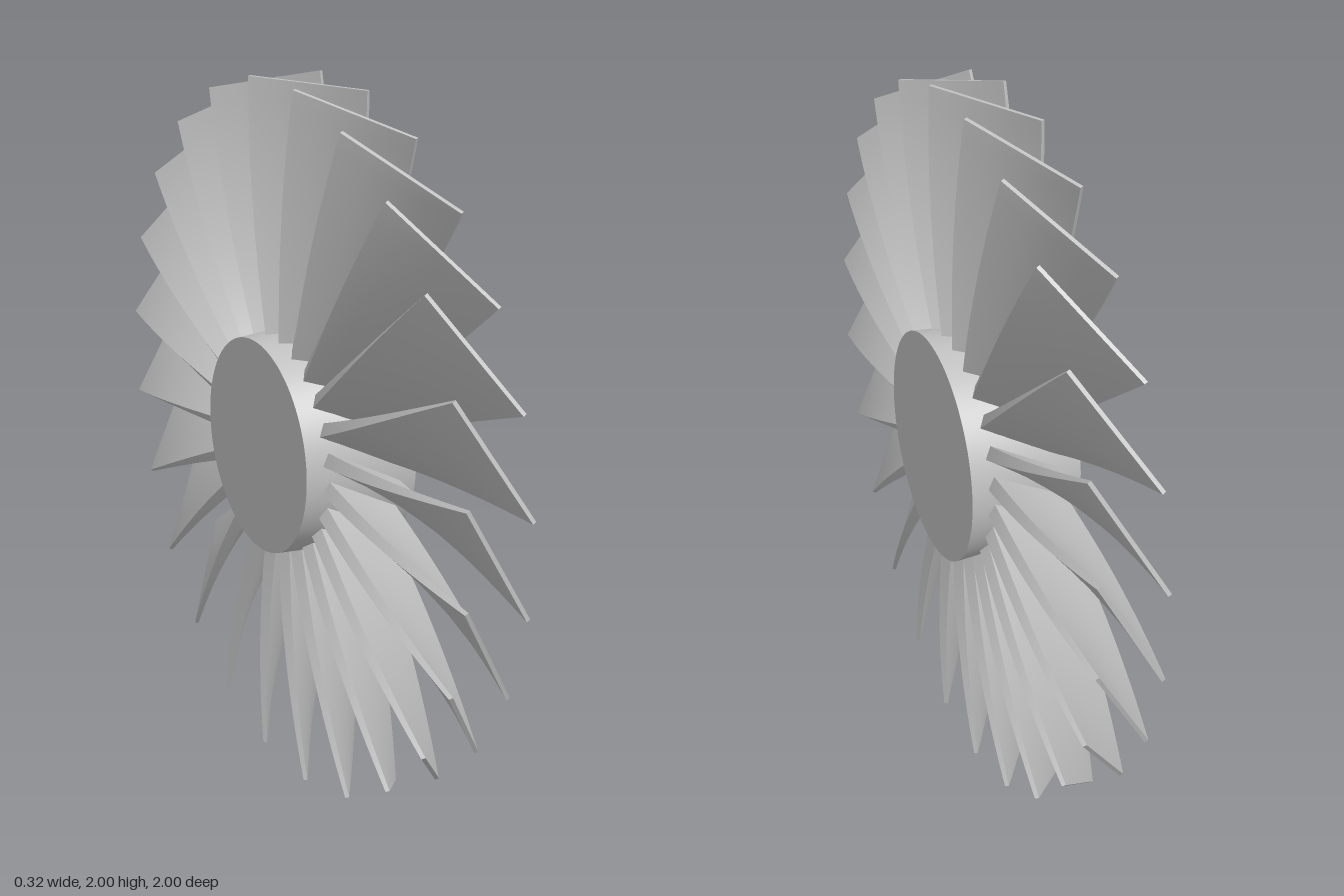
import * as THREE from 'three';
import { toCreasedNormals } from 'three/addons/utils/BufferGeometryUtils.js';

const BLADES = 24;
const ROOT = 0.28; // blade root, buried in the hub
const TIP = 0.99;

// One twisted, tapering blade pointing up, with the rotor axis along x
function bladeGeometry() {
  const geo = new THREE.BoxGeometry(2, TIP - ROOT, 1, 4, 16, 1);
  geo.translate(0, (TIP + ROOT) / 2, 0);
  const pos = geo.attributes.position;
  for (let i = 0; i < pos.count; i++) {
    const t = (pos.getY(i) - ROOT) / (TIP - ROOT);
    const chord = pos.getX(i) * THREE.MathUtils.lerp(0.113, 0.186, t);
    const thick = pos.getZ(i) * THREE.MathUtils.lerp(0.04, 0.011, t);
    const pitch = THREE.MathUtils.degToRad(THREE.MathUtils.lerp(26, 60.5, t));
    const c = Math.cos(pitch), s = Math.sin(pitch);
    pos.setX(i, chord * c - thick * s);
    pos.setZ(i, chord * s + thick * c);
  }
  return toCreasedNormals(geo, 0.6);
}

export function createModel() {
  const metal = new THREE.MeshStandardMaterial({ color: 0xc0c0c0 });
  metal.name = 'grey metal';

  const model = new THREE.Group();
  model.name = 'bladedRotor';

  // Slightly conical hub, wider towards +x
  const hubGeo = new THREE.CylinderGeometry(0.302, 0.325, 0.32, 96);
  hubGeo.rotateZ(Math.PI / 2);
  const hub = new THREE.Mesh(hubGeo, metal);
  hub.name = 'hub';
  hub.position.y = 1;
  model.add(hub);

  // Ring of blades
  const blades = new THREE.Group();
  blades.name = 'blades';
  blades.position.y = 1;
  const geo = bladeGeometry();
  for (let i = 0; i < BLADES; i++) {
    const blade = new THREE.Mesh(geo, metal);
    blade.name = `blade${i + 1}`;
    blade.rotation.x = (i / BLADES) * Math.PI * 2;
    blades.add(blade);
  }
  model.add(blades);
  return model;
}
